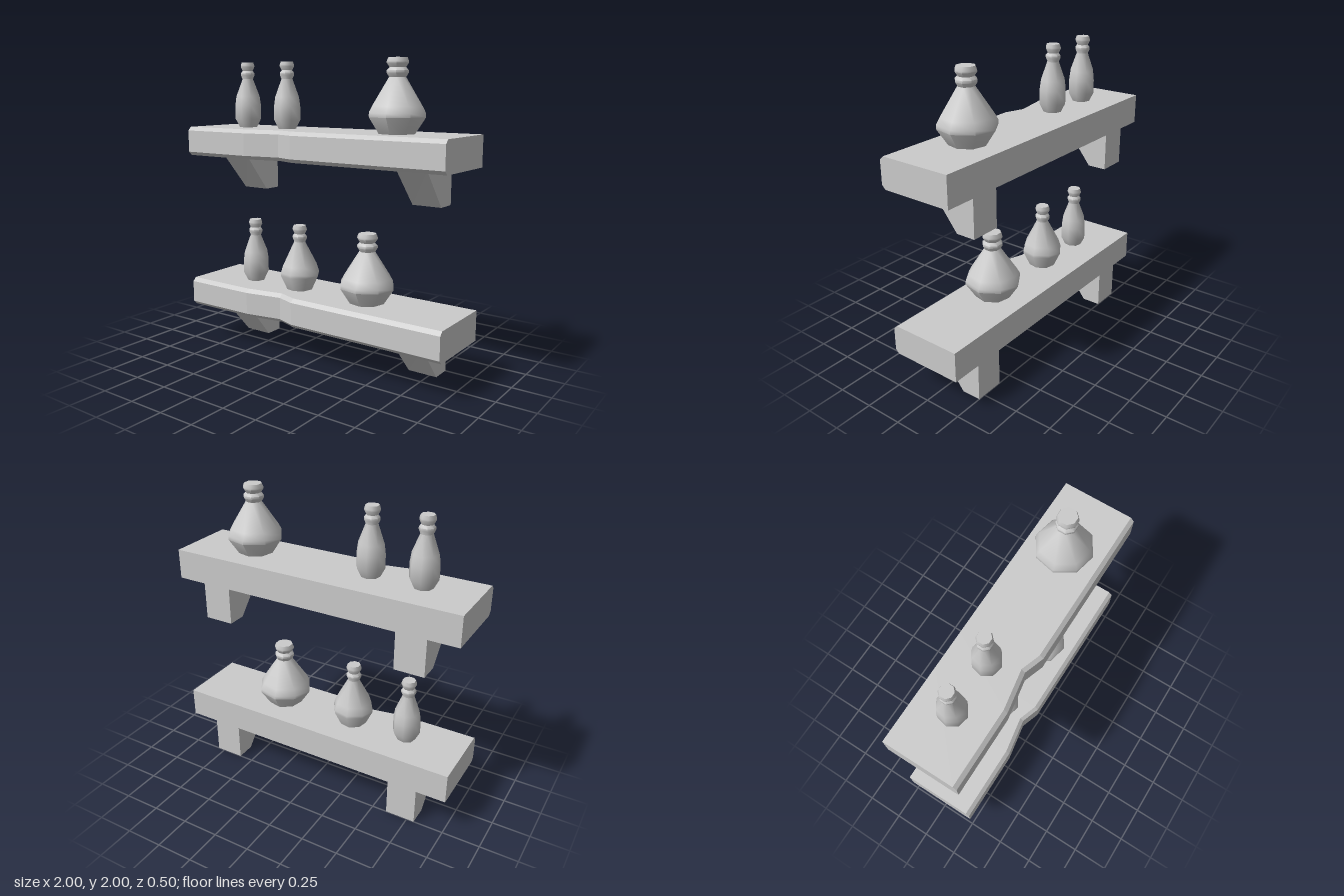
import * as THREE from 'three';
import { toCreasedNormals } from 'three/addons/utils/BufferGeometryUtils.js';

const grey = new THREE.MeshStandardMaterial({ color: 0xcccccc });
const greyFlat = new THREE.MeshStandardMaterial({ color: 0xcccccc, flatShading: true });

function mesh(name, geometry, material) {
  const m = new THREE.Mesh(geometry, material);
  m.name = name;
  return m;
}

// Extrude a side profile of [z, y] points along x, in the given number of steps
function extrudeAlongX(profile, depth, steps = 1) {
  const shape = new THREE.Shape(profile.map(([z, y]) => new THREE.Vector2(-z, y)));
  return new THREE.ExtrudeGeometry(shape, { depth, steps, bevelEnabled: false }).rotateY(Math.PI / 2);
}

// Plank with chamfered front edges and a shallow chip worn into the front
function plankGeometry() {
  const profile = [[-0.25, 0.25], [0.225, 0.25], [0.25, 0.275], [0.25, 0.425], [0.225, 0.45], [-0.25, 0.45]];
  const stations = [-1, -0.48, -0.22, -0.09, 1];
  const geo = extrudeAlongX(profile, 4, 4);
  const p = geo.attributes.position;
  for (let i = 0; i < p.count; i++) {
    const k = Math.round(p.getX(i));
    p.setX(i, stations[k]);
    if (k === 2 && p.getZ(i) > 0) p.setZ(i, p.getZ(i) - 0.045);
  }
  geo.computeVertexNormals();
  return geo;
}

// Sloped bracket whose front top edge is slightly skewed
function bracketGeometry() {
  const geo = extrudeAlongX([[-0.25, 0], [-0.12, 0], [0.1, 0.25], [-0.25, 0.25]], 0.2);
  const p = geo.attributes.position;
  for (let i = 0; i < p.count; i++) {
    if (p.getX(i) > 0.1 && p.getZ(i) > 0) p.setZ(i, 0.08);
  }
  geo.translate(-0.1, 0, 0);
  geo.computeVertexNormals();
  return geo;
}

// Eight-sided bottle: a body outline, then a neck with two rings; the body is twisted against the neck
function bottleGeometry(body, neck, height) {
  const rings = [[0.85, 0.335], [1.1, 0.36], [1.1, 0.375], [0.82, 0.392], [1.1, 0.418], [1.1, 0.428], [0.95, 0.45]];
  const points = [[0, 0], ...body, ...rings.map(([r, y]) => [r * neck, y]), [0, 0.45]];
  const geo = new THREE.LatheGeometry(points.map(([r, y]) => new THREE.Vector2(r, y)), 8, Math.PI / 8);
  const p = geo.attributes.position;
  const v = new THREE.Vector3();
  const up = new THREE.Vector3(0, 1, 0);
  for (let i = 0; i < p.count; i++) {
    v.fromBufferAttribute(p, i);
    if (v.y < 0.3) v.applyAxisAngle(up, -0.22);
    p.setXYZ(i, v.x, v.y * height / 0.45, v.z);
  }
  return toCreasedNormals(geo, 0.9);
}

export function createModel() {
  const model = new THREE.Group();
  model.name = 'bottleShelves';

  const plank = plankGeometry();
  const bracket = bracketGeometry();
  const bottles = {
    slimBottle: bottleGeometry([[0.062, 0], [0.092, 0.06], [0.092, 0.15], [0.083, 0.215]], 0.045, 0.445),
    mediumBottle: bottleGeometry([[0.092, 0], [0.138, 0.1], [0.138, 0.12], [0.122, 0.17]], 0.046, 0.445),
    wideBottle: bottleGeometry([[0.118, 0], [0.184, 0.1], [0.184, 0.125], [0.162, 0.165]], 0.061, 0.455),
  };

  // Each shelf: height offset and its bottles with their x positions
  const shelves = [
    ['lowerShelf', 0, [['slimBottle', -0.605], ['mediumBottle', -0.205], ['wideBottle', 0.345]]],
    ['upperShelf', 1.1, [['slimBottle', -0.655], ['slimBottle', -0.305], ['wideBottle', 0.545]]],
  ];
  for (const [name, y, items] of shelves) {
    const shelf = new THREE.Group();
    shelf.name = name;
    shelf.position.y = y;
    shelf.add(mesh('plank', plank, greyFlat));

    for (const side of [-1, 1]) {
      const b = mesh(side > 0 ? 'leftBracket' : 'rightBracket', bracket, greyFlat);
      b.position.x = side * 0.7;
      shelf.add(b);
    }
    for (const [kind, x] of items) {
      const b = mesh(kind, bottles[kind], grey);
      b.position.set(x, 0.45, 0);
      shelf.add(b);
    }
    model.add(shelf);
  }
  return model;
}
